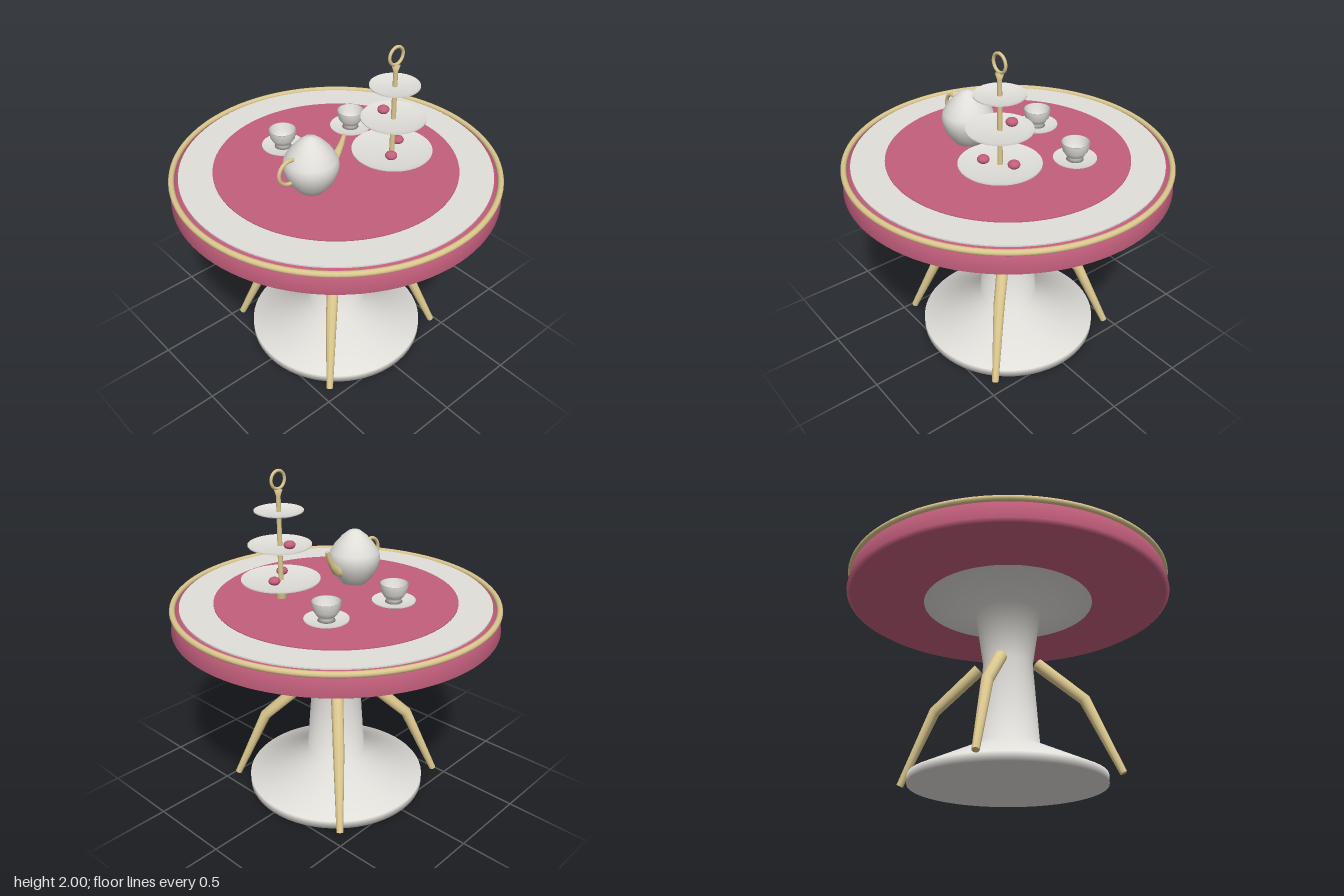
import * as THREE from 'three';
import { toCreasedNormals } from 'three/addons/utils/BufferGeometryUtils.js';

export function createModel() {
  const model = new THREE.Group();
  model.name = 'teaTable';
  const mat = (name, color) => {
    const m = new THREE.MeshStandardMaterial({ color });
    m.name = name;
    return m;
  };
  const white = mat('porcelainWhite', 0xe0ded9);
  const pink = mat('rosePink', 0xc25e7c);
  const gold = mat('paleGold', 0xdac68d);

  const add = (parent, name, geometry, material, x = 0, y = 0, z = 0) => {
    const mesh = new THREE.Mesh(geometry, material);
    mesh.name = name;
    mesh.position.set(x, y, z);
    parent.add(mesh);
    return mesh;
  };
  const group = (name, x = 0, y = 0, z = 0) => {
    const g = new THREE.Group();
    g.name = name;
    g.position.set(x, y, z);
    model.add(g);
    return g;
  };
  const lathe = (profile, segments = 64) =>
    new THREE.LatheGeometry(profile.map(([r, y]) => new THREE.Vector2(r, y)), segments);

  // Capped tube along a path in the xy plane; each entry is [x, y, radius]
  function taperedTube(path, sides = 20) {
    const pts = path.map(([x, y]) => new THREE.Vector3(x, y, 0));
    const n = pts.length;
    const rings = path.map(([, , r], i) => {
      const t = new THREE.Vector3();
      if (i > 0) t.add(pts[i].clone().sub(pts[i - 1]).normalize());
      if (i < n - 1) t.add(pts[i + 1].clone().sub(pts[i]).normalize());
      return { c: pts[i], t: t.normalize(), r };
    });
    rings.unshift({ ...rings[0], r: 0 });
    rings.push({ ...rings[n], r: 0 });
    const pos = [], index = [];
    rings.forEach(({ c, t, r }, i) => {
      for (let j = 0; j < sides; j++) {
        const a = (j / sides) * Math.PI * 2, s = Math.sin(a) * r;
        pos.push(c.x + t.y * s, c.y - t.x * s, Math.cos(a) * r);
        if (i === rings.length - 1) continue;
        const k = (j + 1) % sides, p = i * sides, q = p + sides;
        index.push(p + j, p + k, q + k, p + j, q + k, q + j);
      }
    });
    const g = new THREE.BufferGeometry();
    g.setAttribute('position', new THREE.Float32BufferAttribute(pos, 3));
    g.setIndex(index);
    return toCreasedNormals(g, Math.PI / 3.5);
  }

  // Pedestal with broad foot and flared head
  add(model, 'pedestal', lathe([
    [0, 0], [0.55, 0], [0.55, 0.05], [0.18, 0.225], [0.145, 0.71], [0.195, 1.035], [0.51, 1.098],
  ]), white);

  // Four bent legs on the diagonals
  const legGeo = taperedTube([[0.175, 0.695, 0.037], [0.44, 0.46, 0.033], [0.63, 0.037, 0.02]]);
  for (let i = 0; i < 4; i++) {
    add(model, 'leg', legGeo, gold).rotation.y = Math.PI / 4 + (i * Math.PI) / 2;
  }

  // Table top: padded pink body, gold rim, white cloth and pink centre
  add(model, 'tableTop', lathe([
    [0, 1.097], [0.935, 1.097], [0.96, 1.112], [0.94, 1.225], [0.9, 1.236],
  ], 96), pink);
  const rim = add(model, 'tableRim', new THREE.TorusGeometry(0.944, 0.017, 12, 96), gold, 0, 1.232, 0);
  rim.rotation.x = Math.PI / 2;
  add(model, 'whiteCloth', new THREE.CylinderGeometry(0.905, 0.905, 0.008, 96), white, 0, 1.241, 0);
  add(model, 'centreCloth', new THREE.CylinderGeometry(0.71, 0.71, 0.006, 96), pink, 0, 1.247, 0);

  // Teapot
  const teapot = group('teapot', -0.262, 1.25, 0.092);
  add(teapot, 'teapotBody', lathe([
    [0, 0], [0.08, 0], [0.125, 0.055], [0.15, 0.115], [0.156, 0.16], [0.147, 0.195],
    [0.115, 0.245], [0.075, 0.29], [0.035, 0.322], [0, 0.33],
  ], 48), white);
  add(teapot, 'teapotHandle', new THREE.TorusGeometry(0.072, 0.011, 12, 40), gold, -0.148, 0.167, 0);
  add(teapot, 'teapotSpout', taperedTube([
    [0.11, 0.09, 0.034], [0.16, 0.11, 0.03], [0.195, 0.15, 0.021], [0.222, 0.195, 0.016], [0.242, 0.245, 0.011],
  ]), gold);

  // Three-tier cake stand
  const stand = group('cakeStand', 0.222, 0, 0.228);
  add(stand, 'standPole', lathe([
    [0, 1.25], [0.034, 1.25], [0.015, 1.33], [0.013, 1.85], [0.024, 1.885], [0, 1.89],
  ], 24), gold);
  add(stand, 'standRing', new THREE.TorusGeometry(0.05, 0.009, 12, 40), gold, 0, 1.94, 0);
  for (const [r, y] of [[0.23, 1.362], [0.183, 1.568], [0.14, 1.766]]) {
    add(stand, 'cakePlate', toCreasedNormals(lathe([
      [0, -0.014], [r * 0.78, -0.014], [r, 0], [r, 0.006], [r * 0.8, -0.004], [0, -0.004],
    ]), 0.6), white, 0, y, 0);
  }

  // Small cakes on the lower and middle tiers
  for (const [x, y, z] of [[-0.068, 1.379, 0.062], [0.08, 1.379, -0.032], [0, 1.586, -0.08]]) {
    add(stand, 'cake', new THREE.SphereGeometry(0.034, 24, 16), pink, x, y, z).scale.y = 0.7;
  }

  // Two cups on saucers
  const saucerGeo = toCreasedNormals(lathe([
    [0, 0], [0.065, 0], [0.075, 0.012], [0.125, 0.029], [0.125, 0.034], [0.07, 0.022], [0, 0.022],
  ], 48), 0.6);
  const cupGeo = lathe([
    [0, 0.022], [0.05, 0.022], [0.04, 0.038], [0.055, 0.055], [0.073, 0.082], [0.082, 0.133],
    [0.077, 0.133], [0.068, 0.09], [0.045, 0.06], [0, 0.05],
  ], 48);
  for (const [x, z] of [[-0.13, -0.327], [0.322, -0.23]]) {
    const setting = group('teaSetting', x, 1.25, z);
    add(setting, 'saucer', saucerGeo, white);
    add(setting, 'cup', cupGeo, white);
  }

  return model;
}
